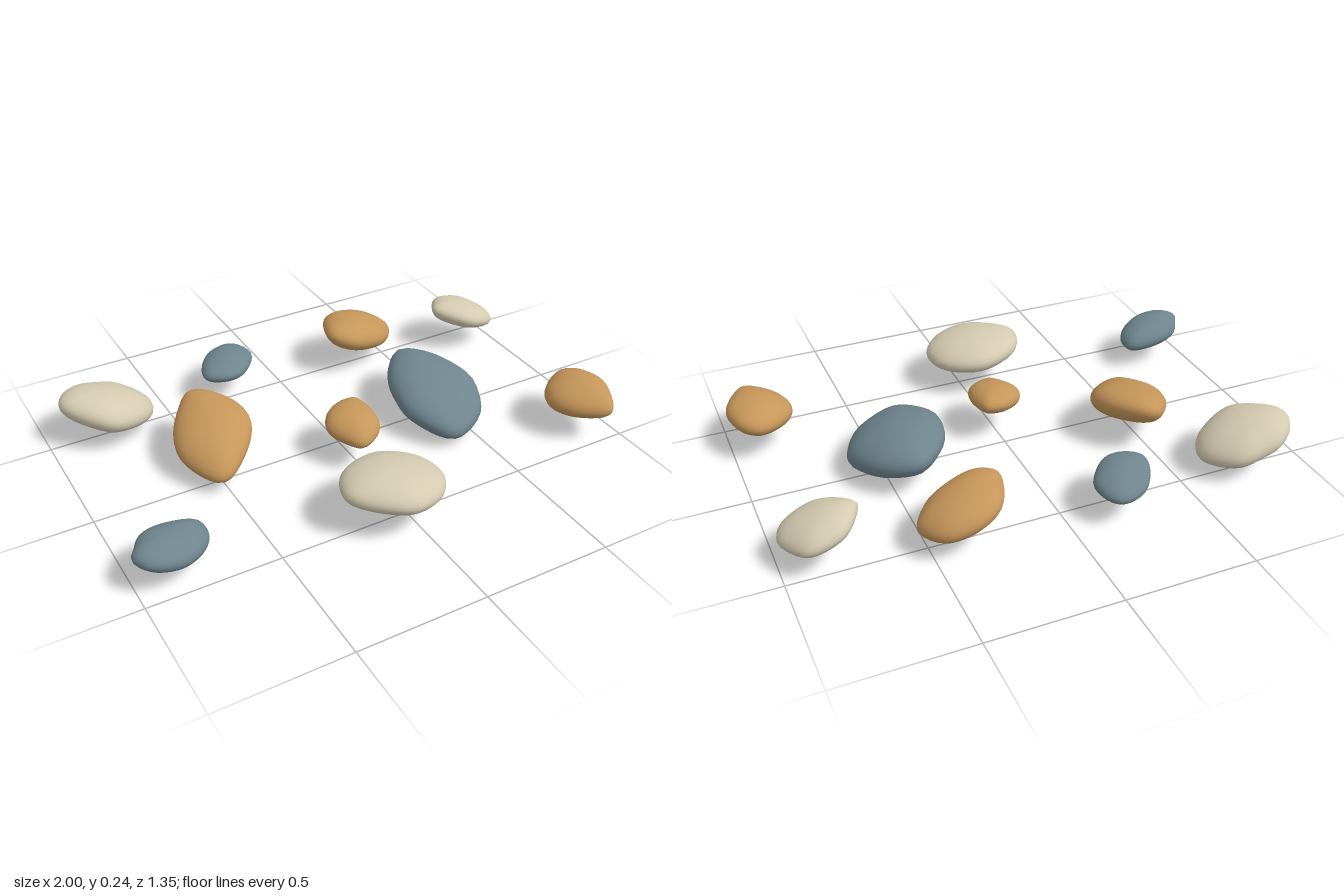
import * as THREE from 'three';
import { mergeVertices } from 'three/addons/utils/BufferGeometryUtils.js';

const makeMaterial = (name, color) => {
  const m = new THREE.MeshStandardMaterial({ color });
  m.name = name;
  return m;
};

// Pebble: a plan outline (x, z pairs in hundredths, clockwise from above) swelled
// into an ellipsoid of half height h at height y, tilted by slopes along x and z.
function pebbleGeometry(outline, h, slopeX, slopeZ) {
  const around = 40, levels = 18;
  const points = [];
  for (let i = 0; i < outline.length; i += 2) {
    points.push(new THREE.Vector3(outline[i] / 100, 0, outline[i + 1] / 100));
  }
  const center = new THREE.Box3().setFromPoints(points).getCenter(new THREE.Vector3());
  const rim = new THREE.CatmullRomCurve3(points, true, 'centripetal')
    .getSpacedPoints(around).slice(0, around).map((p) => p.sub(center));

  const positions = [], index = [];
  for (let j = 0; j <= levels; j++) {
    const angle = (j / levels - 0.5) * Math.PI;
    const spread = j % levels === 0 ? 0 : Math.cos(angle);
    for (const p of rim) {
      const x = p.x * spread, z = p.z * spread;
      positions.push(x, h * Math.sin(angle) + slopeX * x + slopeZ * z, z);
    }
  }
  for (let j = 0; j < levels; j++) {
    for (let i = 0; i < around; i++) {
      const a = j * around + i, b = j * around + (i + 1) % around;
      const c = a + around, d = b + around;
      if (j > 0) index.push(a, c, b);
      if (j < levels - 1) index.push(b, c, d);
    }
  }
  const raw = new THREE.BufferGeometry();
  raw.setAttribute('position', new THREE.Float32BufferAttribute(positions, 3));
  raw.setIndex(index);
  const geometry = mergeVertices(raw, 1e-5);
  geometry.computeVertexNormals();
  return { geometry, center };
}

export function createModel() {
  const group = new THREE.Group();
  group.name = 'pebbles';
  const cream = makeMaterial('cream stone', 0xd3cab0);
  const tan = makeMaterial('tan stone', 0xc6965a);
  const slate = makeMaterial('slate stone', 0x6f858e);

  const pebble = (name, material, y, h, slopeX, slopeZ, outline) => {
    const { geometry, center } = pebbleGeometry(outline, h, slopeX, slopeZ);
    const mesh = new THREE.Mesh(geometry, material);
    mesh.name = name;
    mesh.position.set(center.x, y, center.z);
    group.add(mesh);
  };

  // Back row
  pebble('backRightCreamPebble', cream, 0.135, 0.079, -0.25, 0,
    [-78, -63, -67, -62, -58, -50, -61, -41, -73, -34, -81, -34, -94, -48, -92, -56, -85, -62]);
  pebble('backSlatePebble', slate, 0.135, 0.05, 0, 0.05,
    [-26, -65, -16, -68, -12, -65, -10, -57, -12, -52, -20, -44, -27, -43, -34, -47, -34, -53]);
  pebble('backTanPebble', tan, 0.148, 0.073, -0.25, 0,
    [37, -64, 48, -62, 54, -52, 52, -47, 46, -41, 32, -37, 26, -38, 21, -43, 22, -51, 27, -60]);
  pebble('backLeftCreamPebble', cream, 0.15, 0.058, -0.28, 0,
    [85, -54, 92, -53, 98, -44, 99, -39, 96, -33, 85, -30, 78, -33, 71, -41, 72, -44, 78, -52]);

  // Middle
  pebble('middleTanPebble', tan, 0.142, 0.08, 0.17, -0.25,
    [-50, -32, -46, -32, -40, -27, -34, -17, -33, -9, -37, -1, -51, 10, -56, 8, -63, -7, -61, -18, -55, -27]);
  pebble('smallTanPebble', tan, 0.155, 0.055, 0.05, -0.12,
    [0, -1, 6, -1, 8, 0, 10, 10, 8, 18, 1, 23, -3, 23, -9, 14, -10, 9, -7, 3]);
  pebble('largeSlatePebble', slate, 0.107, 0.096, -0.13, -0.17,
    [41, -24, 47, -23, 56, -16, 63, 0, 61, 8, 55, 18, 39, 27, 33, 25, 25, 11, 25, 2, 29, -11]);

  // Front row
  pebble('frontCreamPebble', cream, 0.16, 0.073, -0.08, 0,
    [-7, 33, 2, 35, 11, 43, 13, 53, 11, 58, 5, 64, -6, 67, -14, 64, -25, 54, -26, 49, -21, 39]);
  pebble('frontSlatePebble', slate, 0.128, 0.059, -0.13, 0,
    [-85, 29, -72, 31, -71, 36, -72, 40, -77, 46, -86, 50, -96, 48, -100, 42, -98, 38, -94, 32]);
  pebble('frontTanPebble', tan, 0.153, 0.066, 0.08, 0,
    [90, 21, 96, 24, 99, 30, 100, 37, 96, 47, 91, 53, 87, 52, 78, 44, 75, 35, 78, 28]);

  return group;
}
